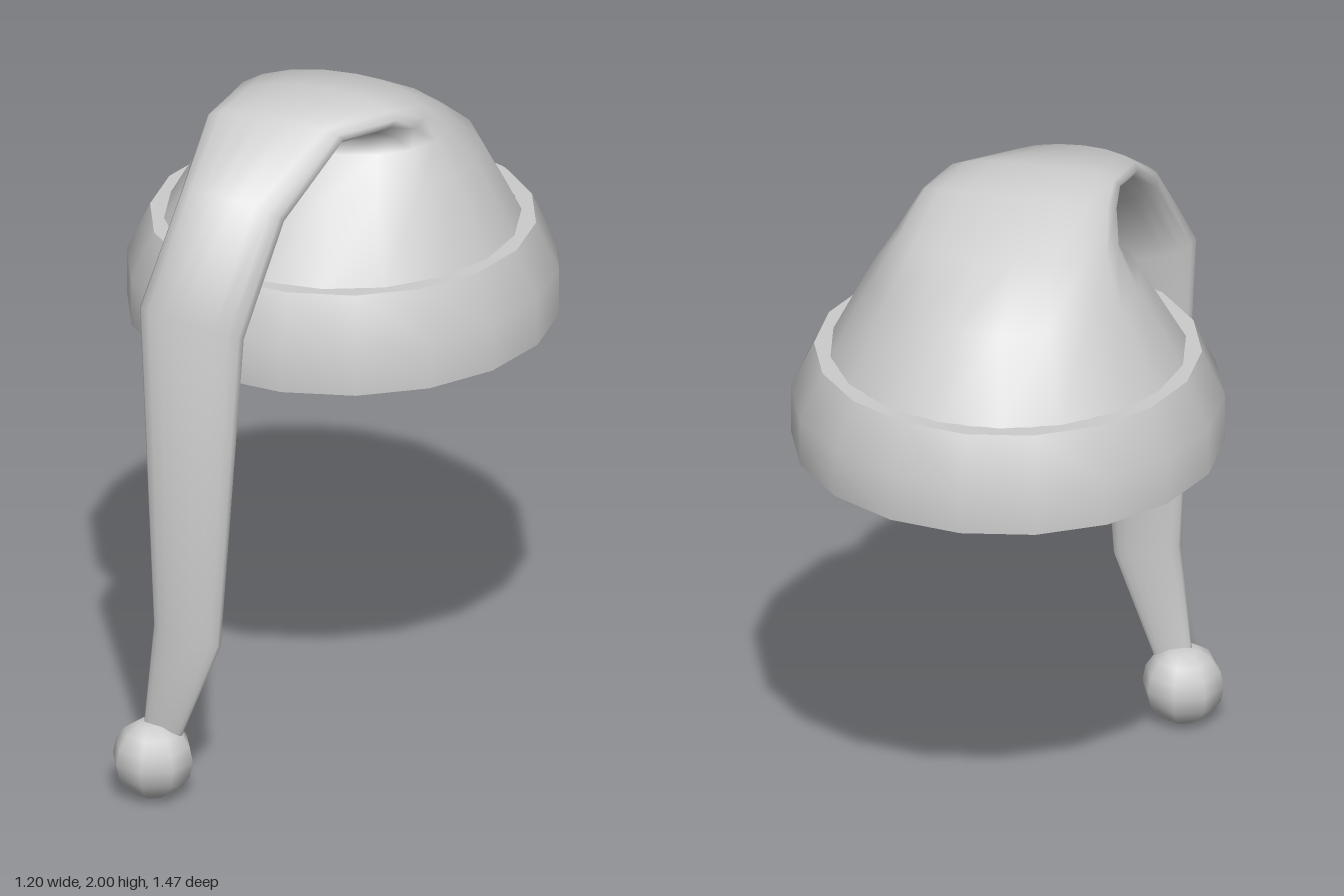
import * as THREE from 'three';
import { toCreasedNormals } from 'three/addons/utils/BufferGeometryUtils.js';

const SIDES = 18;
const CENTRE_Z = -0.12;

// Cross-sections from the base of the crown to the tip of the tail:
// [xLeft, xRight, sideTilt, outer z, outer y, inner z, inner y]
const SECTIONS = [
  [-0.505, 0.505, 0, -0.62, 1.516, 0.386, 1.516],
  [-0.375, 0.39, 0, -0.487, 1.743, 0.254, 1.743],
  [-0.31, 0.325, 0, -0.286, 1.87, 0.127, 1.818],
  [-0.28, 0.28, 0, -0.085, 1.976, 0.13, 1.86],
  [-0.27, 0.225, 0, 0.08, 2.0, 0.145, 1.885],
  [-0.295, 0.105, -0.01, 0.265, 1.976, 0.19, 1.88],
  [-0.305, -0.005, -0.025, 0.487, 1.818, 0.4, 1.73],
  [-0.37, -0.066, -0.03, 0.69, 1.515, 0.577, 1.465],
  [-0.325, -0.13, -0.022, 0.685, 0.54, 0.607, 0.51],
  [-0.365, -0.255, 0, 0.638, 0.19, 0.604, 0.19],
];

// Skin elliptical rings into one smooth tube
function loft(sections) {
  const pos = [], index = [];
  sections.forEach(([xl, xr, tilt, za, ya, zb, yb], i) => {
    for (let j = 0; j < SIDES; j++) {
      const t = (j / SIDES) * Math.PI * 2, c = Math.cos(t), s = Math.sin(t);
      pos.push(
        (xl + xr) / 2 + (c * (xr - xl)) / 2,
        (ya + yb) / 2 + (s * (ya - yb)) / 2 + c * tilt,
        (za + zb) / 2 + (s * (za - zb)) / 2
      );
      if (i === sections.length - 1) continue;
      const a = i * SIDES + j, b = i * SIDES + ((j + 1) % SIDES);
      index.push(a, b, b + SIDES, a, b + SIDES, a + SIDES);
    }
  });
  const geo = new THREE.BufferGeometry();
  geo.setAttribute('position', new THREE.Float32BufferAttribute(pos, 3));
  geo.setIndex(index);
  geo.computeVertexNormals();
  return geo;
}

export function createModel() {
  const group = new THREE.Group();
  const material = new THREE.MeshStandardMaterial({ color: 0xcccccc });
  const add = (name, geometry, x = 0, y = 0, z = 0) => {
    const mesh = new THREE.Mesh(geometry, material);
    mesh.name = name;
    mesh.position.set(x, y, z);
    group.add(mesh);
    return mesh;
  };

  // Crown that folds over the front into a long flattened tail
  add('crownAndTail', loft(SECTIONS));

  // Flat underside of the crown, seen from inside the brim
  add('crownBase', new THREE.CircleGeometry(0.507, SIDES).rotateX(Math.PI / 2), 0, 1.512, CENTRE_Z);

  // Thick brim band, bevelled towards the top
  const profile = [
    [0.61, 1.24], [0.61, 1.38], [0.545, 1.52], [0.495, 1.52], [0.527, 1.24], [0.61, 1.24],
  ].map(([r, y]) => new THREE.Vector2(r, y));
  add('brim', toCreasedNormals(new THREE.LatheGeometry(profile, SIDES), 0.75), 0, 0, CENTRE_Z);

  // Pompom on the tip of the tail
  add('pompom', new THREE.SphereGeometry(0.117, 8, 8), -0.336, 0.121, 0.62);

  return group;
}
